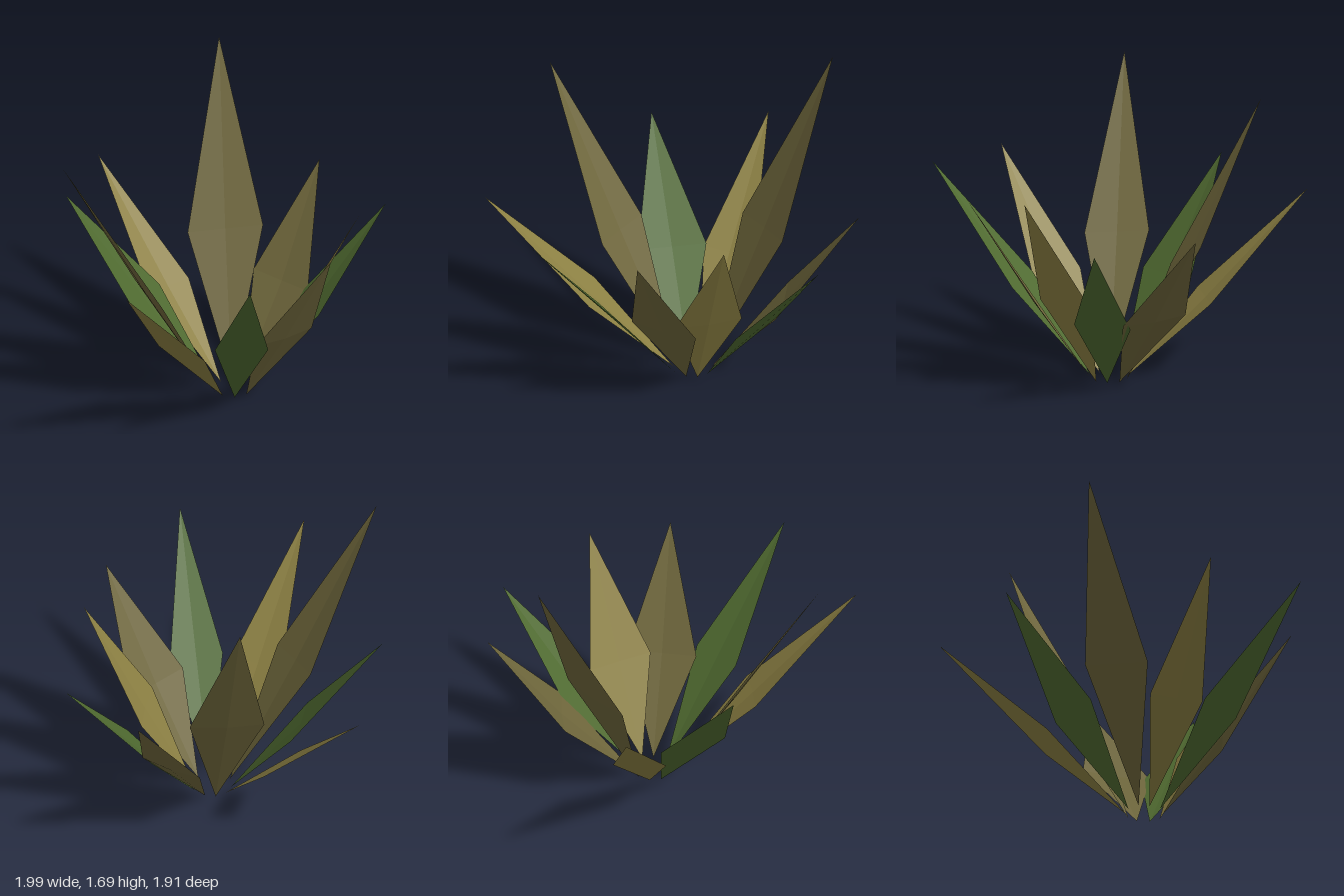
import * as THREE from 'three';

const material = (color) => new THREE.MeshStandardMaterial({
  color, flatShading: true, side: THREE.DoubleSide,
});

// A kite-shaped leaf: base, two side corners, tip and a slightly sunken middle.
function makeLeaf(base, sideA, sideB, tip, mat) {
  const [b, s, t, e] = [base, sideA, sideB, tip].map((p) => new THREE.Vector3(...p));
  const normal = t.clone().sub(s).cross(e.clone().sub(b)).normalize();
  if (normal.y < 0) normal.negate();
  const middle = s.clone().add(t).multiplyScalar(0.5).addScaledVector(normal, -0.012);
  const geometry = new THREE.BufferGeometry().setFromPoints([b, s, e, t, middle]);
  geometry.setIndex([0, 1, 4, 1, 2, 4, 2, 3, 4, 3, 0, 4]);
  const flat = geometry.toNonIndexed();
  flat.computeVertexNormals();
  return new THREE.Mesh(flat, mat);
}

export function createModel() {
  const group = new THREE.Group();
  group.name = 'leafyPlant';
  const olive = material(0x8c8043);
  const brown = material(0x6e663b);
  const green = material(0x4f6a30);

  // Each leaf: name, material, base, side corner, side corner, tip
  const leaves = [
    ['backLeaf', olive, [0.11, 0, 0.05], [0, 0.44, -0.39], [0.29, 0.42, -0.37], [0.19, 1.0, -0.96]],
    ['backLeftLeaf', brown, [0.17, 0, 0.07], [0.24, 0.73, -0.33], [0.55, 0.76, -0.06], [0.69, 1.69, -0.53]],
    ['leftLeaf', brown, [0.2, 0, 0.12], [0.56, 0.46, -0.14], [0.6, 0.44, 0.23], [0.99, 1.0, -0.06]],
    ['leftFrontLeaf', green, [0.2, 0, 0.19], [0.58, 0.41, 0.18], [0.45, 0.43, 0.46], [0.93, 0.95, 0.5]],
    ['frontLeftLeaf', olive, [0.16, 0, 0.24], [0.45, 0.5, 0.36], [0.13, 0.49, 0.55], [0.47, 1.14, 0.75]],
    ['frontLeaf', brown, [0.1, 0, 0.25], [0.26, 0.47, 0.59], [-0.12, 0.48, 0.54], [0.04, 1.08, 0.95]],
    ['frontRightLeaf', green, [0.03, 0, 0.23], [-0.12, 0.49, 0.63], [-0.34, 0.5, 0.44], [-0.58, 1.11, 0.94]],
    ['rightLeaf', olive, [0, 0, 0.17], [-0.4, 0.45, 0.42], [-0.46, 0.46, 0.13], [-1.0, 1.04, 0.41]],
    ['rightBackLeaf', brown, [0, 0, 0.11], [-0.42, 0.67, 0.12], [-0.3, 0.69, -0.21], [-0.83, 1.55, -0.24]],
    ['backRightLeaf', green, [0.05, 0, 0.06], [-0.31, 0.48, -0.18], [0.03, 0.49, -0.34], [-0.38, 1.07, -0.65]],
  ];
  for (const [name, mat, base, sideA, sideB, tip] of leaves) {
    const leaf = makeLeaf(base, sideA, sideB, tip, mat);
    leaf.name = name;
    group.add(leaf);
  }
  return group;
}
